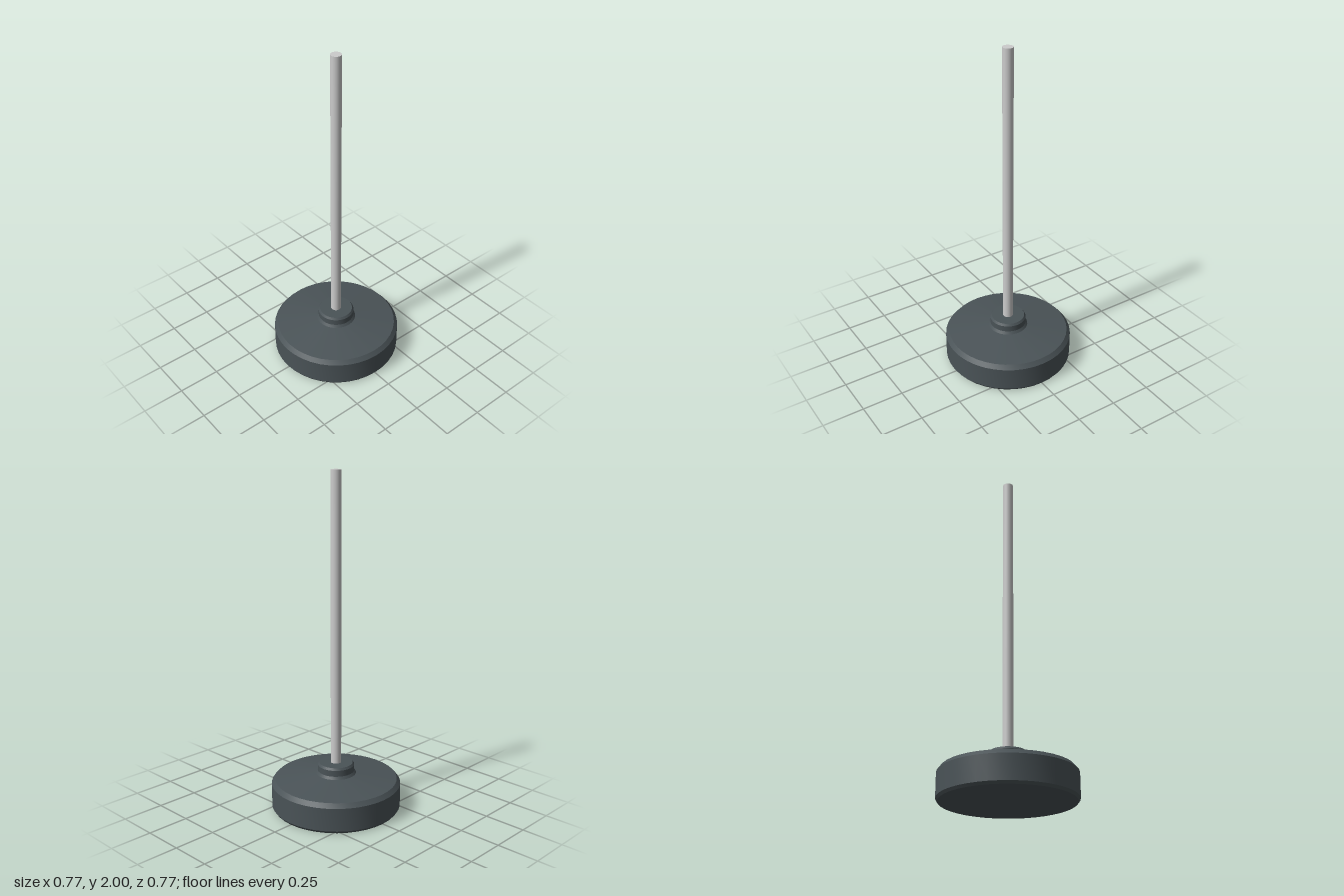
import * as THREE from 'three';
import { toCreasedNormals } from 'three/addons/utils/BufferGeometryUtils.js';

export function createModel() {
  const group = new THREE.Group();
  const add = (name, geometry, color) => {
    const mesh = new THREE.Mesh(geometry, new THREE.MeshStandardMaterial({ color }));
    mesh.name = name;
    group.add(mesh);
    return mesh;
  };

  // Weighted base: chamfered disc, shallow cone and raised collar
  const profile = [
    [0, 0], [0.375, 0], [0.386, 0.015], [0.386, 0.155], [0.365, 0.18],
    [0.12, 0.212], [0.109, 0.228], [0.109, 0.265], [0.1, 0.278], [0, 0.278],
  ].map(([r, y]) => new THREE.Vector2(r, y));
  add('base', toCreasedNormals(new THREE.LatheGeometry(profile, 40), 0.35), 0x4a5357);

  // Upright pole, seated in the collar
  const bottom = 0.25, top = 2;
  const pole = add('pole', new THREE.CylinderGeometry(0.031, 0.031, top - bottom, 32), 0xcccccc);
  pole.position.y = (top + bottom) / 2;

  return group;
}
